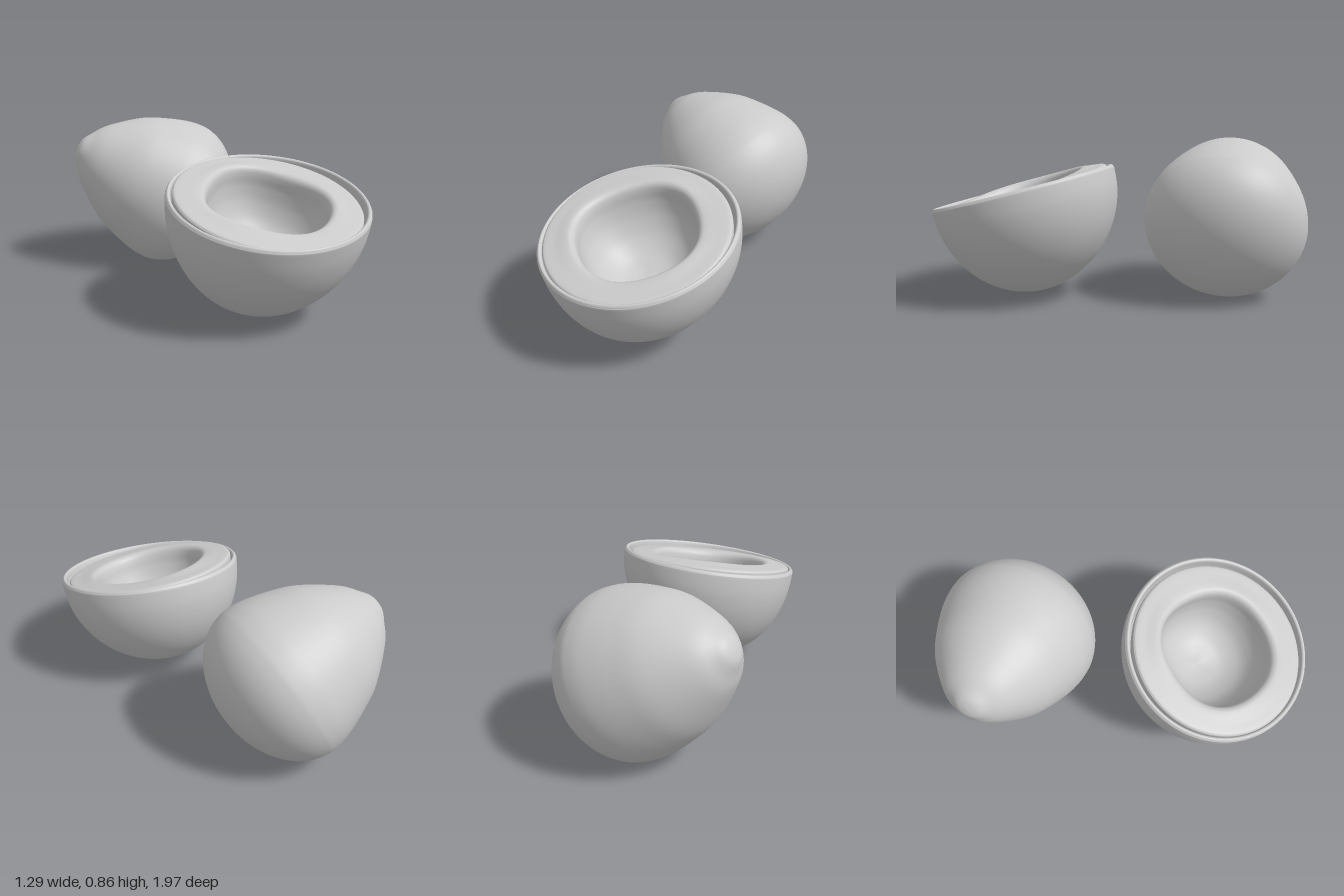
import * as THREE from 'three';
import { mergeVertices } from 'three/addons/utils/BufferGeometryUtils.js';

const material = new THREE.MeshStandardMaterial({ color: 0xcccccc, side: THREE.DoubleSide });

// Smooth [radius, height] profile turned round y, then reshaped by an optional rule
function turned(name, points, samples, reshape) {
  const curve = new THREE.SplineCurve(points.map(([r, y]) => new THREE.Vector2(r, y)));
  const profile = curve.getPoints(samples);
  profile.forEach((p) => { p.x = Math.max(0, p.x); });
  let geometry = new THREE.LatheGeometry(profile, 96);
  geometry.deleteAttribute('uv');
  geometry.deleteAttribute('normal');
  geometry = mergeVertices(geometry, 1e-5);
  if (reshape) {
    const pos = geometry.attributes.position;
    const v = new THREE.Vector3();
    for (let i = 0; i < pos.count; i++) {
      reshape(v.fromBufferAttribute(pos, i));
      pos.setXYZ(i, v.x, v.y, v.z);
    }
  }
  geometry.computeVertexNormals();
  const mesh = new THREE.Mesh(geometry, material);
  mesh.name = name;
  return mesh;
}

// Points on a quarter arc from the bottom pole out to the widest ring
function bowlArc(radius, depth, steps, top, power = 1) {
  const list = [];
  for (let i = 0; i <= steps; i++) {
    const a = (i / steps) * Math.PI / 2;
    list.push([radius * Math.sin(a) ** power, top - depth * Math.cos(a)]);
  }
  return list;
}

export function createModel() {
  const model = new THREE.Group();
  model.name = 'coconuts';

  // Whole nut: rounded base tapering to a blunt tip, lying tilted
  const whole = turned('wholeNut', [
    ...bowlArc(0.434, 0.335, 10, -0.03),
    [0.422, 0.06], [0.378, 0.193], [0.316, 0.325], [0.19, 0.487],
    [0.105, 0.555], [0.055, 0.588], [0, 0.598],
  ], 90);
  const axis = new THREE.Vector3(-0.88, 0.47, -0.02).normalize();
  whole.quaternion.setFromUnitVectors(new THREE.Vector3(0, 1, 0), axis);
  whole.position.set(-0.11, 0.425, -0.565);
  model.add(whole);

  // Half nut: shell and flesh share the tilt of the cut
  const half = new THREE.Group();
  half.name = 'halfNut';
  half.position.set(0.135, 0.595, 0.495);
  half.rotation.x = 0.255;
  model.add(half);

  // Shell: deep bowl with rounded lip and an inner wall, leaning slightly to one side
  half.add(turned('shell', [
    ...bowlArc(0.5, 0.55, 10, -0.02, 1.03),
    [0.497, -0.004], [0.489, 0.006], [0.479, 0.003], [0.474, -0.01],
    [0.468, -0.06], [0.45, -0.14],
  ], 110, (v) => {
    const t = (Math.min(v.y, 0) / 0.57) ** 2;
    v.x -= 0.04 * t;
    v.z += 0.04 * t;
  }));

  // Flesh: ring with soft edges around an uneven hollow, higher on its right
  half.add(turned('flesh', [
    [0.445, -0.14], [0.463, -0.06], [0.466, -0.018], [0.461, -0.006], [0.448, 0],
    [0.4, 0.004], [0.35, 0.009], [0.325, 0.006], [0.308, -0.01], [0.3, -0.04],
    [0.294, -0.1], [0.272, -0.18], [0.225, -0.26], [0.15, -0.32], [0.07, -0.345], [0, -0.35],
  ], 120, (v) => {
    const r = Math.hypot(v.x, v.z);
    const a = Math.atan2(v.z, v.x);
    const inner = 1 - THREE.MathUtils.smoothstep(r, 0.3, 0.42);
    const wobble = 1 + inner * (0.022 * Math.cos(4 * a + 0.6) + 0.015 * Math.sin(3 * a));
    const lift = Math.min(1, r / 0.25);
    v.y += lift * (-0.024 * Math.cos(a - 0.45) + inner * 0.006 * Math.sin(3 * a + 1));
    v.x *= wobble;
    v.z *= wobble;
    v.x -= 0.004;
    v.z += 0.006;
  }));

  return model;
}
